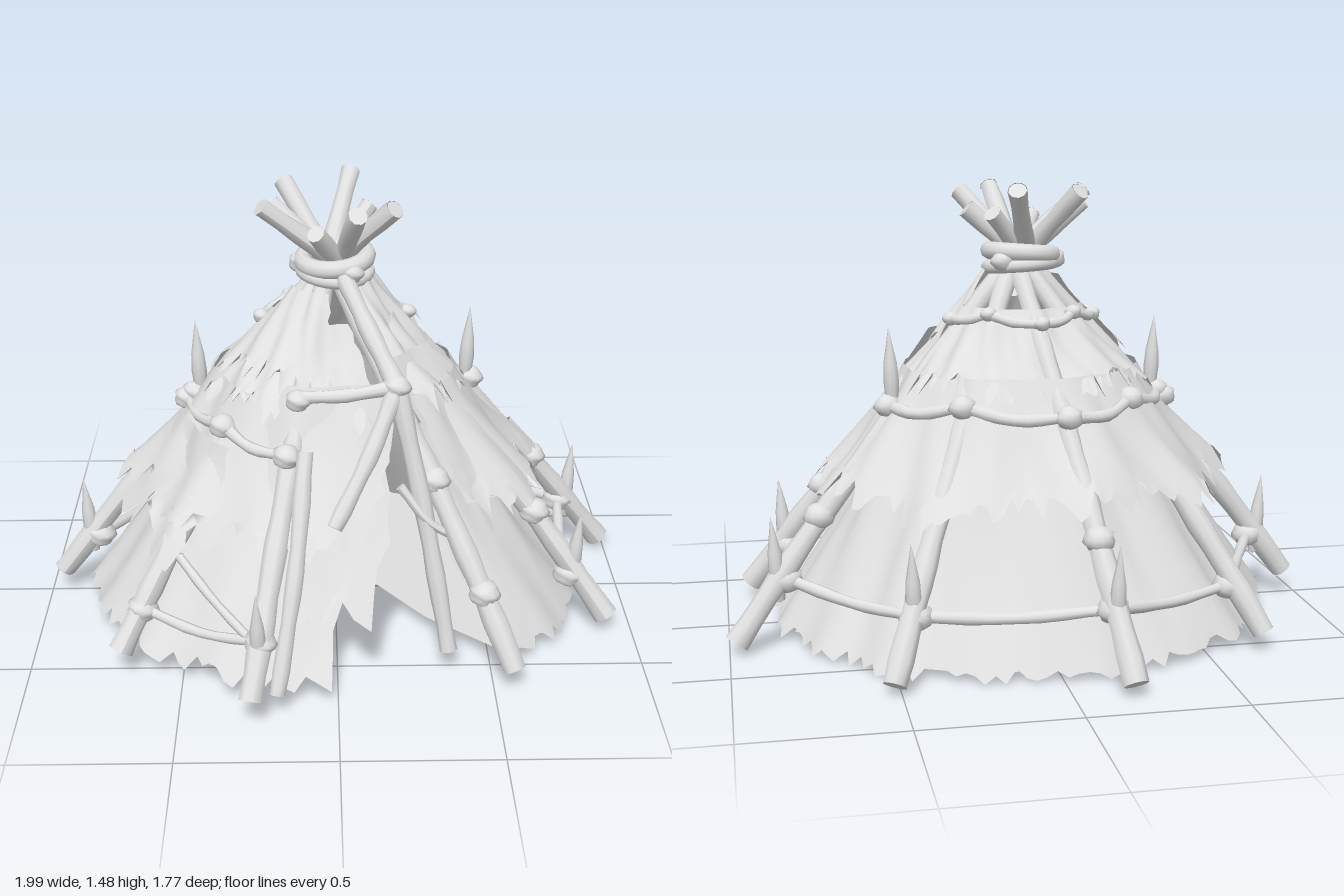
import * as THREE from 'three';

const V = (x, y, z) => new THREE.Vector3(x, y, z);
const lerp = THREE.MathUtils.lerp;

// Foot x, foot z and tip height of every main pole, counter-clockwise from the back
const POLES = [
  [-0.18, -0.86, 1.45], [0.51, -0.71, 1.36], [0.96, -0.28, 1.44], [0.91, 0.29, 1.41], [0.57, 0.65, 1.45],
  [-0.28, 0.86, 1.46], [-0.72, 0.56, 1.38], [-0.97, 0, 1.39], [-0.69, -0.56, 1.44],
];

// The whole shelter leans a little, so the ground line is slightly tilted
const ground = (x, z) => 0.05 + 0.035 * z - 0.02 * x;

// 0 on a pole, up to 1 midway between two poles, for a direction from the centre
function betweenPoles(x, z) {
  const len = Math.hypot(x, z);
  const nearest = Math.max(...POLES.map(([px, pz]) => (px * x + pz * z) / (len * Math.hypot(px, pz))));
  return Math.min(1, Math.acos(Math.min(1, nearest)) / 0.35);
}

export function createModel() {
  const model = new THREE.Group();
  const clay = new THREE.MeshStandardMaterial({ color: 0xe0e0e0, side: THREE.DoubleSide });
  clay.name = 'pale grey';

  let seed = 7;
  const rnd = () => (seed = (seed * 16807) % 2147483647) / 2147483647;

  const add = (name, geometry) => {
    const mesh = new THREE.Mesh(geometry, clay);
    mesh.name = name;
    model.add(mesh);
    return mesh;
  };

  // Rough log along a path, tapering from r0 to r1, with closed ends
  function log(name, points, r0, r1, segments = 14) {
    const curve = new THREE.CatmullRomCurve3(points);
    const sides = 9;
    const tube = new THREE.TubeGeometry(curve, segments, 1, sides, false);
    const p = tube.attributes.position;
    const phase = rnd() * 6;
    for (let i = 0; i <= segments; i++) {
      const c = curve.getPointAt(i / segments);
      const r = lerp(r0, r1, i / segments) * (1 + 0.09 * Math.sin(i * 1.9 + phase));
      for (let j = 0; j <= sides; j++) {
        const k = i * (sides + 1) + j;
        const v = V(0, 0, 0).fromBufferAttribute(p, k).sub(c).multiplyScalar(r).add(c);
        p.setXYZ(k, v.x, v.y, v.z);
      }
    }
    tube.computeVertexNormals();
    add(name, tube);
    [[0, r0, -1], [1, r1, 1]].forEach(([t, r, s]) => {
      const cap = add(name + 'End', new THREE.CircleGeometry(r, sides));
      const end = curve.getPointAt(t);
      cap.position.copy(end);
      cap.lookAt(end.clone().addScaledVector(curve.getTangentAt(t), s));
    });
  }

  // Point on pole i at height y, pushed outwards by out; tips splay above the crossing
  function onPole(i, y, out = 0) {
    const [x, z] = POLES[i];
    const len = Math.hypot(x, z);
    const k = (1.23 - y) / 1.17;
    const r = len * (k > 0 ? k + 0.12 * k * (1 - k) : k * 1.4) + out;
    const swirl = 0.022 * (1 - Math.max(k, 0));
    return V((x * r - z * swirl) / len, y, (z * r + x * swirl) / len);
  }

  // Main poles crossing at the crown
  POLES.forEach(([x, z, top], i) => {
    const foot = ground(x, z) + 0.015;
    const path = [0, 0.2, 0.45, 0.7, 0.85, 1].map(t => onPole(i, lerp(foot, top, t)));
    log('pole', path, 0.039, 0.03, 22);
  });

  // Lumpy rope binding
  function knot(p, r = 0.05) {
    const g = new THREE.SphereGeometry(r, 12, 9);
    const a = g.attributes.position;
    for (let i = 0; i < a.count; i++) {
      const s = 1 + 0.1 * Math.sin(a.getY(i) * 140 + a.getX(i) * 50);
      a.setXYZ(i, a.getX(i) * s, a.getY(i) * 0.85, a.getZ(i) * s);
    }
    g.computeVertexNormals();
    add('knot', g).position.copy(p);
  }

  // Sharp upright stake tied at a binding
  function stake(p) {
    const g = new THREE.LatheGeometry(
      [[0, -0.05], [0.018, -0.04], [0.026, 0.06], [0.022, 0.12], [0, 0.24]].map(q => new THREE.Vector2(...q)), 9);
    const m = add('stake', g);
    m.position.copy(p);
    m.rotation.set(p.z * 0.1, 0, -p.x * 0.1);
  }

  // Rails lashed from pole to pole; bow pushes the middle of each span outwards
  function rail(name, indices, y, out, radius, sag, bow, knotSize) {
    const pts = indices.map((i, n) => onPole(i, y + (n % 2 ? 0.015 : -0.01), out));
    pts.forEach((p, n) => {
      knot(p, knotSize);
      if (!n) return;
      const a = pts[n - 1];
      const mid = a.clone().add(p).multiplyScalar(0.5);
      mid.x *= bow;
      mid.z *= bow;
      mid.y -= sag;
      log(name, [a, mid, p], radius, radius * 0.85, 8);
    });
  }
  rail('lowerRail', [3, 2, 1, 0, 8, 7], 0.21, -0.03, 0.02, 0.02, 0.99, 0.052);
  rail('frontLowerRail', [6, 5], 0.23, -0.01, 0.018, 0.03, 1, 0.05);
  rail('middleRail', [2, 1, 0, 8, 7], 0.77, 0.05, 0.021, 0.02, 1.08, 0.045);
  rail('frontMiddleRail', [7, 6, 5], 0.75, 0.06, 0.02, 0.02, 1.04, 0.045);
  rail('upperRail', [2, 1, 0, 8, 7], 1.04, 0.06, 0.017, 0.01, 1.08, 0.028);
  [[3, 0.42], [4, 0.3], [4, 0.62], [6, 0.5], [2, 0.42], [0, 0.42]].forEach(([i, y]) => knot(onPole(i, y, 0.01)));
  [0, 1, 2, 3, 5, 7].forEach(i => stake(onPole(i, 0.2, -0.02)));
  [7, 2].forEach(i => stake(onPole(i, 0.78, 0.05)));

  // Rope collars at the crown
  [[1.24, 0.105, 0.03], [1.2, 0.11, 0.022]].forEach(([y, r, t], n) => {
    const ring = add('crownBinding', new THREE.TorusGeometry(r, t, 9, 24));
    ring.position.y = y;
    ring.rotation.set(Math.PI / 2 + 0.07, 0.08 - n * 0.14, 0);
  });
  [0.5, 2.4, 4.6].forEach(a => knot(V(Math.sin(a) * 0.11, 1.22, Math.cos(a) * 0.11), 0.04));

  // Draped hide: angles in degrees from the front towards +x, each given as [top, bottom]
  function hide(name, start, end, yTop, yBottom, rTop, rBottom, jag, followGround = false) {
    const cols = Math.max(12, Math.round((end[1] - start[1]) / 2.2));
    const rows = 10;
    const pos = [];
    const index = [];
    const ph = rnd() * 6;
    for (let j = 0; j <= rows; j++) {
      for (let i = 0; i <= cols; i++) {
        const v = j / rows;
        const u = i / cols;
        const a = THREE.MathUtils.degToRad(lerp(lerp(...start, v), lerp(...end, v), u));
        const fold = 0.012 * Math.sin(a * 9 + ph + v * 2) + 0.01 * Math.sin(a * 17 - v * 5 + ph * 2);
        let y = lerp(yTop, yBottom, v) + 0.02 * Math.sin(a * 4 + ph) * v * (followGround ? 0 : 1);
        let r = lerp(rTop, rBottom, v) + fold * (0.3 + v) - 0.03 * Math.sin(v * Math.PI) * rBottom;
        // Cloth pulls inwards between the poles
        r *= 1.01 - 0.06 * betweenPoles(Math.sin(a), Math.cos(a) * 0.86);
        if (followGround) y += v * (ground(Math.sin(a) * r, Math.cos(a) * r * 0.86) - 0.05);
        // Torn hem and torn side edges
        if (j === rows) {
          const tear = (rnd() - 0.5) * jag;
          y -= tear;
          r += tear * 0.7;
        }
        const side = i === 0 ? -1 : i === cols ? 1 : 0;
        const angle = a + side * rnd() * 0.07;
        pos.push(Math.sin(angle) * r, Math.max(y, 0), Math.cos(angle) * r * 0.86);
        if (i < cols && j < rows) {
          const k = j * (cols + 1) + i;
          index.push(k, k + cols + 1, k + 1, k + 1, k + cols + 1, k + cols + 2);
        }
      }
    }
    const g = new THREE.BufferGeometry();
    g.setAttribute('position', new THREE.Float32BufferAttribute(pos, 3));
    g.setIndex(index);
    g.computeVertexNormals();
    add(name, g);
  }
  hide('lowerHide', [36, 42], [370, 355], 0.76, 0.045, 0.4, 0.85, 0.05, true);
  hide('middleHide', [38, 47], [384, 368], 0.87, 0.5, 0.4, 0.69, 0.1);
  hide('upperHide', [32, 42], [372, 380], 1.07, 0.83, 0.2, 0.43, 0.09);
  hide('sideCrownHide', [30, 36], [100, 110], 1.2, 0.98, 0.12, 0.29, 0.06);
  hide('frontCrownHide', [285, 280], [350, 358], 1.16, 0.92, 0.15, 0.38, 0.08);
  // Extra hides hanging beside the doorway
  hide('leftDoorHide', [335, 322], [385, 366], 0.92, 0.3, 0.38, 0.77, 0.12);
  hide('rightDoorHide', [36, 46], [68, 72], 0.98, 0.5, 0.31, 0.67, 0.12);
  hide('leftSideHide', [278, 282], [318, 316], 0.72, 0.42, 0.52, 0.74, 0.12);

  // Ground hide inside, cut away at the doorway
  const rim = [];
  for (let deg = 42; deg <= 355; deg += 4) {
    const a = THREE.MathUtils.degToRad(deg);
    const r = 0.8 + (rnd() - 0.5) * 0.04;
    rim.push(new THREE.Vector2(Math.sin(a) * r, Math.cos(a) * r * 0.86));
  }
  [[-0.05, 0.2], [0.1, 0.02], [0.3, 0.3]].forEach(q => rim.push(new THREE.Vector2(...q)));
  const floor = new THREE.ShapeGeometry(new THREE.Shape(rim));
  const fp = floor.attributes.position;
  for (let i = 0; i < fp.count; i++) {
    const x = fp.getX(i);
    const z = fp.getY(i);
    fp.setXYZ(i, x, ground(x, z) + 0.005, z);
  }
  floor.computeVertexNormals();
  add('groundHide', floor);

  // Doorway frame
  const peak = V(0.19, 0.93, 0.34);
  log('doorLintel', [V(-0.13, 0.9, 0.35), V(0.03, 0.91, 0.36), peak], 0.02, 0.022, 8);
  log('leftDoorPost', [peak, V(0.1, 0.74, 0.45), V(-0.01, 0.55, 0.56)], 0.03, 0.026, 8);
  log('rightDoorPost', [peak, V(0.28, 0.52, 0.43), V(0.36, 0.08, 0.53)], 0.032, 0.028, 10);
  log('doorBrace', [V(0.2, 0.62, 0.42), V(0.3, 0.5, 0.45), V(0.36, 0.46, 0.44)], 0.016, 0.014, 6);
  log('crownStrut', [V(0.01, 1.24, 0.08), V(0.1, 1.08, 0.21), peak], 0.028, 0.032, 8);
  log('frontStrut', [V(-0.1, 0.76, 0.45), V(-0.13, 0.45, 0.62), V(-0.19, 0.08, 0.77)], 0.028, 0.026, 10);
  log('frontCrossStick', [V(-0.5, 0.42, 0.5), V(-0.38, 0.32, 0.62), V(-0.22, 0.2, 0.74)], 0.016, 0.014, 8);
  knot(peak, 0.045);
  knot(V(-0.12, 0.89, 0.35), 0.04);

  return model;
}
